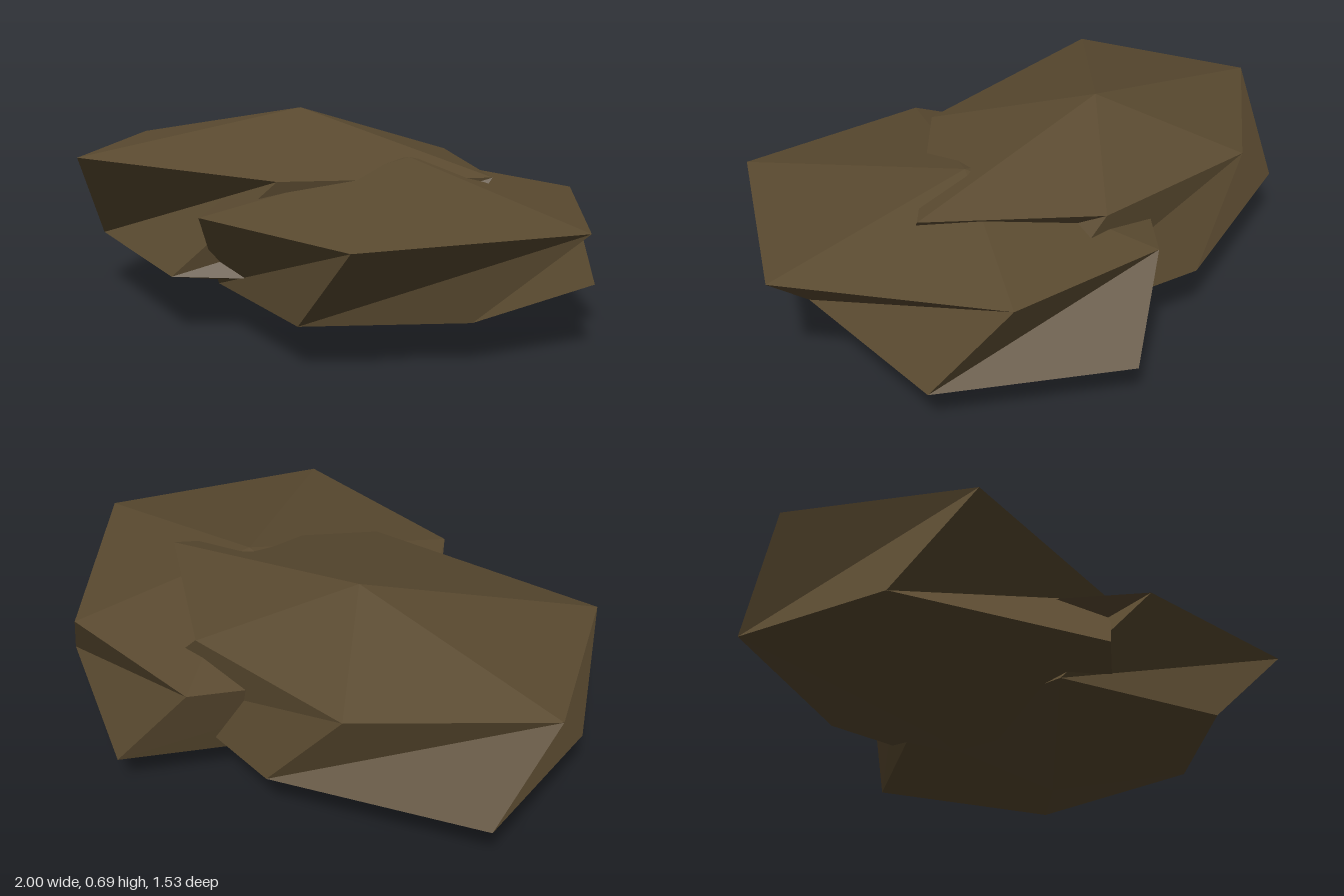
import * as THREE from 'three';

// Faceted stone: two six-sided rings, the lower one twisted, closed by shallow peaks.
function stone(name, material, top, upperY, upper, lowerY, lower, bottom) {
  const pos = [];
  const U = upper.map(([x, z]) => [x, upperY, z]);
  const L = lower.map(([x, z]) => [x, lowerY, z]);
  const tri = (a, b, c) => pos.push(...a, ...b, ...c);
  for (let i = 0; i < U.length; i++) {
    const j = (i + 1) % U.length;
    tri(top, U[j], U[i]);
    tri(U[i], U[j], L[j]);
    tri(U[i], L[j], L[i]);
    tri(bottom, L[i], L[j]);
  }
  const geometry = new THREE.BufferGeometry();
  geometry.setAttribute('position', new THREE.Float32BufferAttribute(pos, 3));
  geometry.computeVertexNormals();
  const mesh = new THREE.Mesh(geometry, material);
  mesh.name = name;
  return mesh;
}

export function createModel() {
  const group = new THREE.Group();
  group.name = 'rockPair';
  const brown = new THREE.MeshStandardMaterial({ color: 0x5a4a30 });
  brown.name = 'earth brown';
  brown.flatShading = true;

  // Higher stone on the right, towards the back
  group.add(stone('upperStone', brown,
    [-0.23, 0.69, -0.21],
    0.527, [[0.57, -0.07], [-0.02, 0.33], [-0.87, 0.26], [-1, -0.36], [-0.42, -0.68], [0.19, -0.53]],
    0.2, [[0.42, 0.15], [-0.35, 0.46], [-0.95, 0], [-0.88, -0.57], [-0.15, -0.68], [0.49, -0.42]],
    [-0.23, 0.04, -0.21]));

  // Lower stone on the left, towards the front
  group.add(stone('lowerStone', brown,
    [0.28, 0.577, -0.04],
    0.43, [[1, 0.18], [0.47, 0.76], [-0.19, 0.54], [-0.43, -0.23], [0.13, -0.69], [0.68, -0.52]],
    0.14, [[0.67, 0.32], [0.21, 0.61], [-0.29, 0.26], [-0.11, -0.38], [0.36, -0.77], [0.85, -0.32]],
    [0.28, 0, -0.03]));

  return group;
}
